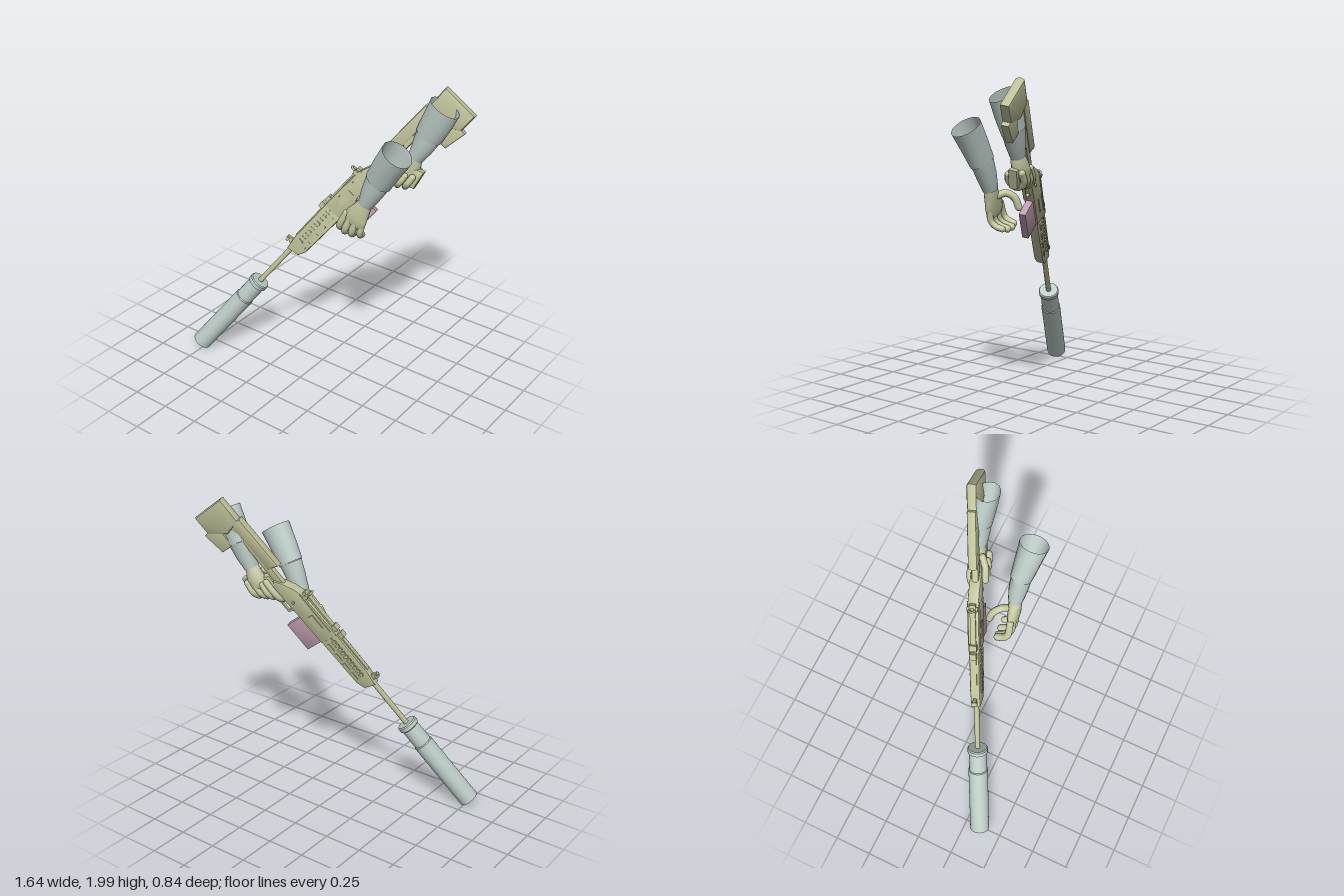
import * as THREE from 'three';
import { toCreasedNormals } from 'three/addons/utils/BufferGeometryUtils.js';

const material = (name, color, side = THREE.FrontSide) => {
  const m = new THREE.MeshStandardMaterial({ color, side });
  m.name = name;
  return m;
};

export function createModel() {
  const cloth = material('pale grey cloth', 0xbccbc6, THREE.DoubleSide);
  const olive = material('olive metal', 0xbdbf98);
  const skin = material('glove', 0xc6c9a2);
  const pink = material('dusty pink', 0xbd9aac);

  const model = new THREE.Group();
  const rifle = new THREE.Group();
  rifle.name = 'rifle';
  model.add(rifle);

  // Rifle frame: x runs from muzzle to butt, y is the rifle's up, z its left side
  const along = new THREE.Vector3(0.556, 0.779, -0.289).normalize();
  const side = along.clone().cross(new THREE.Vector3(-0.78, 0.615, 0.12)).normalize();
  const up = side.clone().cross(along);
  rifle.applyMatrix4(new THREE.Matrix4().makeBasis(along, up, side).setPosition(-0.39, 0.575, 0.16));

  const add = (parent, name, geometry, mat) => {
    const mesh = new THREE.Mesh(geometry, mat);
    mesh.name = name;
    parent.add(mesh);
    return mesh;
  };
  const box = (name, x0, x1, y0, y1, width, z = 0, mat = olive) => {
    const m = add(rifle, name, new THREE.BoxGeometry(x1 - x0, y1 - y0, width), mat);
    m.position.set((x0 + x1) / 2, (y0 + y1) / 2, z);
    return m;
  };
  // Side profile given a width and a small bevel
  const plate = (name, points, width, mat = olive, bevel = 0.008, holes = []) => {
    const shape = new THREE.Shape(points.map(p => new THREE.Vector2(...p)));
    holes.forEach(h => shape.holes.push(new THREE.Path(h.map(p => new THREE.Vector2(...p)))));
    const g = new THREE.ExtrudeGeometry(shape, {
      depth: width - 2 * bevel, bevelEnabled: bevel > 0, bevelThickness: bevel,
      bevelSize: bevel, bevelOffset: -bevel, bevelSegments: 2 });
    g.translate(0, 0, -width / 2 + bevel);
    return add(rifle, name, toCreasedNormals(g, 0.6), mat);
  };
  // Revolved part along the barrel, points are [radius, x]
  const turned = (name, points, mat, segments = 28) => {
    const g = new THREE.LatheGeometry(points.map(p => new THREE.Vector2(...p)), segments);
    g.rotateZ(-Math.PI / 2);
    return add(rifle, name, toCreasedNormals(g, 0.6), mat);
  };
  // Loft through ellipses, stations are [x, y, z, radius across, radius deep]
  const loft = (parent, name, stations, across, mat, sides = 14) => {
    const pos = [], index = [];
    const centre = stations.map(s => new THREE.Vector3(s[0], s[1], s[2]));
    stations.forEach((s, i) => {
      const axis = centre[Math.min(i + 1, centre.length - 1)].clone()
        .sub(centre[Math.max(i - 1, 0)]).normalize();
      const w = new THREE.Vector3(...across).addScaledVector(axis, -axis.dot(new THREE.Vector3(...across))).normalize();
      const d = axis.clone().cross(w);
      for (let j = 0; j < sides; j++) {
        const t = j / sides * Math.PI * 2;
        const p = centre[i].clone().addScaledVector(w, Math.cos(t) * s[3]).addScaledVector(d, Math.sin(t) * s[4]);
        pos.push(p.x, p.y, p.z);
        if (i === stations.length - 1) continue;
        const a = i * sides + j, b = i * sides + (j + 1) % sides;
        index.push(a, b, b + sides, a, b + sides, a + sides);
      }
    });
    const g = new THREE.BufferGeometry();
    g.setAttribute('position', new THREE.Float32BufferAttribute(pos, 3));
    g.setIndex(index);
    g.computeVertexNormals();
    return add(parent, name, g, mat);
  };
  // Bent finger with rounded ends
  const finger = (parent, name, points, r) => {
    const v = points.map(p => new THREE.Vector3(...p));
    const group = new THREE.Group();
    group.name = name;
    parent.add(group);
    add(group, name + 'Bone', new THREE.TubeGeometry(new THREE.CatmullRomCurve3(v), 12, r, 10), skin);
    [v[0], v[v.length - 1]].forEach(p =>
      add(group, name + 'End', new THREE.SphereGeometry(r, 10, 8), skin).position.copy(p));
  };

  // Suppressor, open at the muzzle, and barrel
  turned('suppressor', [[0.064, -0.674], [0.064, -0.178], [0.059, -0.172], [0.057, -0.04],
    [0.066, -0.034], [0.067, -0.008], [0.061, 0], [0, 0]], cloth);
  turned('barrel', [[0.017, -0.02], [0.017, 0.36]], olive, 14);

  // Handguard with ribs and slots on both sides
  plate('handguard', [[0.33, 0.02], [0.345, -0.062], [0.4, -0.085], [0.78, -0.095], [0.78, 0.034], [0.43, 0.034]], 0.062);
  box('topRail', 0.44, 0.7, 0.03, 0.041, 0.03);
  for (const s of [1, -1]) {
    box('sideRail', 0.42, 0.74, -0.018, -0.008, 0.01, s * 0.033);
    for (let i = 0; i < 10; i++) box('railNotch', 0.43 + i * 0.03, 0.446 + i * 0.03, -0.028, 0.002, 0.012, s * 0.033);
    for (let i = 0; i < 4; i++) box('lowerRib', 0.42 + i * 0.08, 0.475 + i * 0.08, -0.066, -0.054, 0.008, s * 0.032);
  }

  // Front sight
  plate('frontSight', [[0.355, 0.01], [0.40, 0.01], [0.392, 0.072], [0.372, 0.072]], 0.022, olive, 0.003);
  box('frontSightPin', 0.36, 0.385, 0.05, 0.066, 0.04);

  // Receiver and the fittings on it
  plate('receiver', [[0.74, 0.036], [0.74, -0.095], [0.98, -0.1], [1.2, -0.11], [1.24, -0.075],
    [1.19, -0.035], [1.13, 0.004], [1.06, 0.028]], 0.07);
  box('railClamp', 0.7, 0.74, 0.03, 0.064, 0.04);
  box('railClamp', 0.76, 0.8, 0.03, 0.06, 0.046);
  box('receiverRail', 0.8, 1.02, 0.034, 0.045, 0.034);
  for (const s of [1, -1]) {
    box('receiverPanel', 0.82, 0.93, -0.05, -0.008, 0.01, s * 0.036);
    box('receiverRib', 0.78, 1.08, 0.008, 0.018, 0.01, s * 0.035);
    const pin = add(rifle, 'pin', new THREE.CylinderGeometry(0.01, 0.01, 0.012, 12), olive);
    pin.position.set(1.06, -0.06, s * 0.037);
    pin.rotation.x = Math.PI / 2;
  }

  // Rear sight with its ring
  box('rearSightBase', 1.015, 1.075, 0.015, 0.048, 0.04);
  const ring = add(rifle, 'rearSightRing', new THREE.TorusGeometry(0.018, 0.007, 8, 16), olive);
  ring.position.set(1.045, 0.06, 0);
  ring.rotation.y = Math.PI / 2;
  const knob = add(rifle, 'sightKnob', new THREE.CylinderGeometry(0.014, 0.014, 0.07, 12), olive);
  knob.position.set(1.045, 0.038, 0);
  knob.rotation.x = Math.PI / 2;

  // Magazine, trigger guard and pistol grip
  plate('magazine', [[0.75, -0.08], [0.75, -0.22], [0.955, -0.22], [0.955, -0.08]], 0.045, pink, 0.004);
  plate('triggerGuard', [[1.0, -0.09], [1.02, -0.155], [1.19, -0.155], [1.19, -0.09]], 0.022, olive, 0.003,
    [[[1.02, -0.1], [1.17, -0.1], [1.17, -0.144], [1.03, -0.144]]]);
  plate('pistolGrip', [[1.14, -0.09], [1.235, -0.285], [1.36, -0.26], [1.28, -0.08]], 0.06, olive, 0.014);

  // Stock: link tube, cheek rest, butt and lower block
  plate('stockLink', [[1.14, -0.085], [1.72, -0.085], [1.72, -0.035], [1.14, -0.035]], 0.044, olive, 0.012);
  plate('cheekRest', [[1.296, 0.02], [1.315, -0.06], [1.68, -0.06], [1.667, 0.016]], 0.058, olive, 0.014);
  plate('butt', [[1.66, 0], [1.83, 0], [1.83, -0.242], [1.7, -0.242], [1.63, -0.12]], 0.066, olive, 0.022);
  plate('lowerStockBlock', [[1.56, -0.15], [1.56, -0.245], [1.708, -0.27], [1.72, -0.15]], 0.05);

  // Left arm
  const left = new THREE.Group();
  left.name = 'leftArm';
  model.add(left);
  const leftAcross = [0.85, -0.52, 0];
  loft(left, 'leftUpperSleeve', [[0.578, 1.715, 0.067, 0.1, 0.092], [0.51, 1.61, 0.06, 0.095, 0.08],
    [0.447, 1.505, 0.053, 0.088, 0.069]], leftAcross, cloth);
  loft(left, 'leftLowerSleeve', [[0.449, 1.51, 0.053, 0.083, 0.064], [0.405, 1.42, 0.054, 0.069, 0.06],
    [0.362, 1.33, 0.057, 0.05, 0.047]], leftAcross, cloth);
  loft(left, 'leftPalm', [[0.37, 1.35, 0.057, 0.042, 0.038], [0.345, 1.3, 0.063, 0.054, 0.042],
    [0.312, 1.24, 0.074, 0.076, 0.036], [0.294, 1.195, 0.078, 0.078, 0.03], [0.28, 1.165, 0.075, 0.05, 0.015],
    [0.276, 1.158, 0.075, 0.001, 0.001]], [0.93, -0.3, 0], skin);
  [[[0.24, 1.24, 0.08], [0.195, 1.15, 0.085], [0.182, 1.12, 0.06], [0.175, 1.105, 0.025]],
    [[0.275, 1.22, 0.085], [0.235, 1.13, 0.088], [0.215, 1.1, 0.06], [0.2, 1.085, 0.02]],
    [[0.315, 1.205, 0.085], [0.282, 1.125, 0.085], [0.265, 1.095, 0.055], [0.25, 1.08, 0.015]],
    [[0.354, 1.2, 0.075], [0.335, 1.13, 0.075], [0.322, 1.1, 0.05], [0.308, 1.085, 0.01]]
  ].forEach((p, i) => finger(left, 'leftFinger', p, i === 3 ? 0.02 : 0.023));
  finger(left, 'leftThumb', [[0.32, 1.285, 0.045], [0.285, 1.305, 0.0], [0.25, 1.275, -0.04], [0.228, 1.215, -0.055]], 0.023);

  // Right arm
  const right = new THREE.Group();
  right.name = 'rightArm';
  model.add(right);
  const rightAcross = [0.87, -0.49, 0];
  loft(right, 'rightUpperSleeve', [[0.672, 1.91, -0.28, 0.102, 0.07], [0.625, 1.81, -0.28, 0.098, 0.07],
    [0.575, 1.71, -0.278, 0.088, 0.066]], rightAcross, cloth);
  loft(right, 'rightLowerSleeve', [[0.577, 1.715, -0.278, 0.084, 0.062], [0.54, 1.63, -0.268, 0.068, 0.056],
    [0.503, 1.555, -0.258, 0.05, 0.046]], rightAcross, cloth);
  loft(right, 'rightPalm', [[0.51, 1.575, -0.26, 0.04, 0.038], [0.495, 1.535, -0.255, 0.05, 0.045],
    [0.475, 1.485, -0.255, 0.066, 0.05], [0.455, 1.44, -0.25, 0.062, 0.045],
    [0.44, 1.41, -0.245, 0.04, 0.025], [0.435, 1.4, -0.245, 0.001, 0.001]], [0.9, -0.42, 0], skin);

  // Right fingers wrap the grip, the forefinger reaches the trigger
  for (let i = 0; i < 3; i++) {
    const x = 1.165 + i * 0.028, y = -0.15 - i * 0.04;
    finger(rifle, 'rightFinger', [[x + 0.1, y, -0.045], [x + 0.02, y - 0.005, -0.05], [x - 0.02, y - 0.006, 0],
      [x + 0.02, y - 0.005, 0.045], [x + 0.07, y, 0.044]], 0.021);
  }
  finger(rifle, 'rightForefinger', [[1.26, -0.115, -0.045], [1.17, -0.115, -0.05], [1.12, -0.12, -0.03], [1.1, -0.122, 0.015]], 0.02);
  finger(rifle, 'rightThumb', [[1.32, -0.12, 0.03], [1.26, -0.095, 0.052], [1.18, -0.095, 0.05]], 0.022);

  return model;
}
